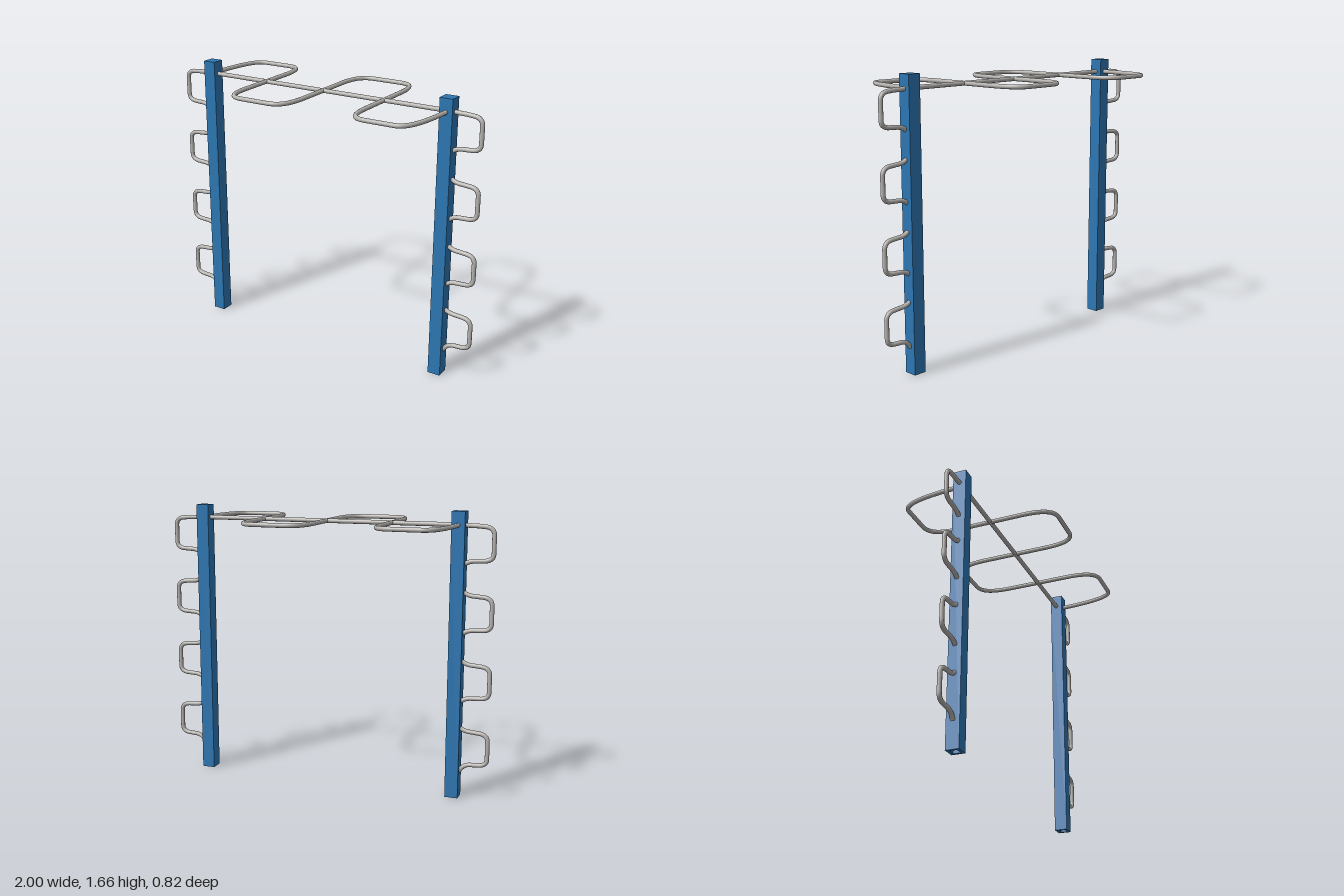
import * as THREE from 'three';

const POST_X = 0.79, POST_W = 0.077, POST_H = 1.66, BAR_Y = 1.583, R = 0.013;

function square(size, Type) {
  const h = size / 2;
  return new Type([
    new THREE.Vector2(-h, -h), new THREE.Vector2(h, -h),
    new THREE.Vector2(h, h), new THREE.Vector2(-h, h),
  ]);
}

// Joins straight runs and bends: each entry is a list of 2 (line), 3 (quadratic) or 4 (cubic) points
function pipePath(pieces) {
  const path = new THREE.CurvePath();
  for (const piece of pieces) {
    const p = piece.map((a) => new THREE.Vector3(...a));
    const Curve = [THREE.LineCurve3, THREE.QuadraticBezierCurve3, THREE.CubicBezierCurve3][p.length - 2];
    path.add(new Curve(...p));
  }
  return path;
}

export function createModel() {
  const model = new THREE.Group();
  model.name = 'climbingFrame';
  const blue = new THREE.MeshStandardMaterial({ color: 0x2d76b2 });
  blue.name = 'bluePaint';
  const steel = new THREE.MeshStandardMaterial({ color: 0xb5b2ae });
  steel.name = 'steel';

  const add = (parent, name, geometry, material) => {
    const mesh = new THREE.Mesh(geometry, material);
    mesh.name = name;
    parent.add(mesh);
    return mesh;
  };
  const addPipe = (parent, name, pieces, segments) =>
    add(parent, name, new THREE.TubeGeometry(pipePath(pieces), segments, R, 12), steel);

  // Hollow square post, open at the foot and capped at the top
  const outline = square(POST_W, THREE.Shape);
  outline.holes.push(square(POST_W * 0.55, THREE.Path));
  const postGeometry = new THREE.ExtrudeGeometry(outline, { depth: POST_H - 0.01, bevelEnabled: false });
  postGeometry.rotateX(-Math.PI / 2);
  const capGeometry = new THREE.BoxGeometry(POST_W, 0.01, POST_W);

  // Rungs: heights where the pipe meets the post, and of its upper and lower runs
  const rungs = [
    { topEnd: 1.583, top: 1.58, low: 1.385, lowEnd: 1.365 },
    { topEnd: 1.207, top: 1.187, low: 0.992, lowEnd: 0.97 },
    { topEnd: 0.812, top: 0.79, low: 0.597, lowEnd: 0.575 },
    { topEnd: 0.418, top: 0.397, low: 0.2, lowEnd: 0.155 },
  ];

  // The two ends are the same, turned half a circle
  for (const [side, angle] of [['left', 0], ['right', Math.PI]]) {
    const end = new THREE.Group();
    end.name = side + 'End';
    end.rotation.y = angle;
    model.add(end);

    add(end, side + 'Post', postGeometry, blue).position.x = POST_X;
    add(end, side + 'PostCap', capGeometry, blue).position.set(POST_X, POST_H - 0.005, 0);

    rungs.forEach(({ topEnd, top, low, lowEnd }, i) => {
      const x0 = POST_X + POST_W / 2 - 0.004, out = 0.987;
      addPipe(end, side + 'Rung' + (i + 1), [
        [[x0, topEnd, 0], [0.85, top, 0], [0.895, top, 0]],
        [[0.895, top, 0], [0.93, top - 0.003, 0]],
        [[0.93, top - 0.003, 0], [out, top - 0.005, 0], [out, top - 0.05, 0]],
        [[out, top - 0.05, 0], [out, low + 0.045, 0]],
        [[out, low + 0.045, 0], [out, low + 0.004, 0], [0.935, low + 0.002, 0]],
        [[0.935, low + 0.002, 0], [0.895, low, 0]],
        [[0.895, low, 0], [0.85, low, 0], [x0, lowEnd, 0]],
      ], 70);
    });

    // Half of the winding overhead pipe, from the middle out to the post
    const z = 0.396, x = 0.395, y = BAR_Y;
    addPipe(end, side + 'WindingPipe', [
      [[0, y, 0], [0, y, -0.2]],
      [[0, y, -0.2], [0, y, -0.34], [0.035, y, -z], [0.11, y, -z]],
      [[0.11, y, -z], [x - 0.11, y, -z]],
      [[x - 0.11, y, -z], [x - 0.035, y, -z], [x, y, -0.34], [x, y, -0.2]],
      [[x, y, -0.2], [x, y, 0.2]],
      [[x, y, 0.2], [x, y, 0.34], [x + 0.035, y, z], [x + 0.11, y, z]],
      [[x + 0.11, y, z], [0.68, y, z]],
      [[0.68, y, z], [0.755, y, z], [0.785, y, 0.24], [POST_X, y, 0]],
    ], 160);
  }

  // Straight overhead bar between the posts
  const bar = new THREE.CylinderGeometry(R, R, POST_X * 2, 12);
  bar.rotateZ(Math.PI / 2);
  add(model, 'overheadBar', bar, steel).position.y = BAR_Y;

  return model;
}
